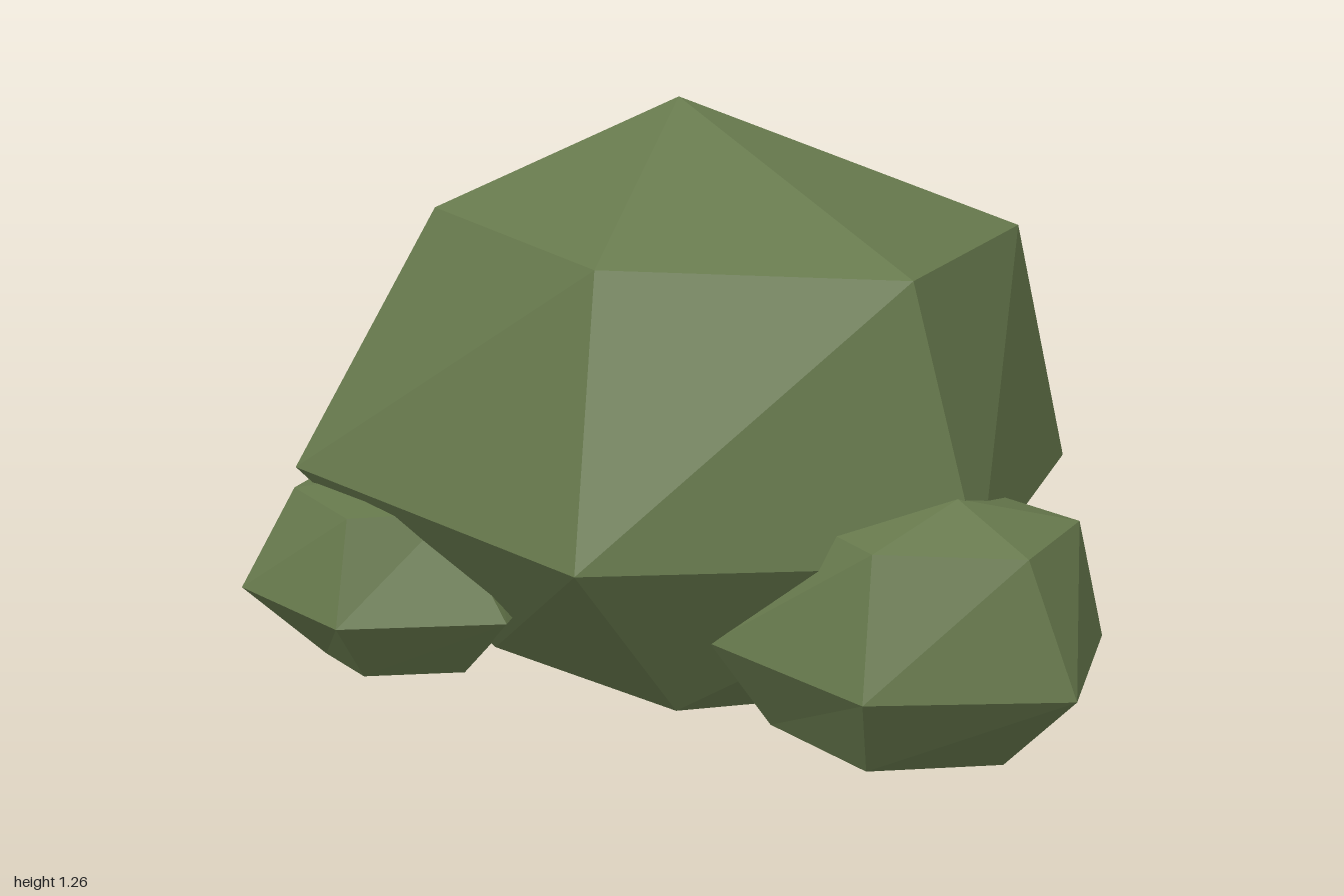
import * as THREE from 'three';

// Faceted boulder: stacked six-sided rings [x, z] at given heights, a peak, and a flat base
function boulder(name, material, heights, rings, peak) {
  const loops = rings.map((ring, k) => ring.map(([x, z]) => [x, heights[k], z]));
  const pos = [];
  const tri = (a, b, c) => pos.push(...a, ...b, ...c);
  const n = loops[0].length;
  const base = [0, 1, 2].map(c => loops[0].reduce((s, p) => s + p[c], 0) / n);
  for (let i = 0; i < n; i++) {
    const j = (i + 1) % n;
    tri(base, loops[0][j], loops[0][i]);
    for (let k = 0; k < loops.length - 1; k++) {
      const lo = loops[k], hi = loops[k + 1];
      tri(lo[i], lo[j], hi[j]);
      tri(lo[i], hi[j], hi[i]);
    }
    const top = loops[loops.length - 1];
    tri(top[i], top[j], peak);
  }
  // Unshared vertices give flat facets
  const geo = new THREE.BufferGeometry();
  geo.setAttribute('position', new THREE.Float32BufferAttribute(pos, 3));
  geo.computeVertexNormals();
  const mesh = new THREE.Mesh(geo, material);
  mesh.name = name;
  return mesh;
}

export function createModel() {
  const group = new THREE.Group();
  group.name = 'boulderCluster';
  const moss = new THREE.MeshStandardMaterial({ color: 0x66784c });
  moss.name = 'mossGreen';

  // Each ring runs from the front round by +x, the back and -x
  group.add(boulder('mainBoulder', moss, [0, 0.43, 1.01], [
    [[0.09, 0.34], [0.42, 0.04], [0.23, -0.31], [-0.29, -0.36], [-0.62, -0.09], [-0.44, 0.25]],
    [[0.07, 0.7], [0.75, 0.24], [0.62, -0.47], [-0.28, -0.7], [-1, -0.24], [-0.82, 0.46]],
    [[0, 0.5], [0.59, 0.25], [0.59, -0.25], [0, -0.5], [-0.57, -0.25], [-0.57, 0.25]],
  ], [-0.1, 1.26, 0]));

  group.add(boulder('leftSmallBoulder', moss, [0, 0.215, 0.5], [
    [[0.58, 0.4], [0.81, 0.23], [0.74, 0.03], [0.55, -0.05], [0.35, 0.05], [0.3, 0.3]],
    [[0.64, 0.54], [1, 0.31], [0.91, -0.03], [0.6, -0.13], [0.27, 0.04], [0.22, 0.42]],
    [[0.61, 0.45], [0.89, 0.32], [0.89, 0.07], [0.62, 0], [0.38, 0.1], [0.37, 0.33]],
  ], [0.7, 0.57, 0.25]));

  group.add(boulder('rightSmallBoulder', moss, [0, 0.165, 0.39], [
    [[-0.6, 0.53], [-0.42, 0.4], [-0.47, 0.2], [-0.63, 0.14], [-0.82, 0.3], [-0.75, 0.47]],
    [[-0.57, 0.66], [-0.27, 0.45], [-0.36, 0.12], [-0.65, 0], [-0.97, 0.3], [-0.9, 0.57]],
    [[-0.59, 0.58], [-0.42, 0.44], [-0.47, 0.22], [-0.65, 0.13], [-0.83, 0.27], [-0.81, 0.48]],
  ], [-0.62, 0.42, 0.36]));

  return group;
}
